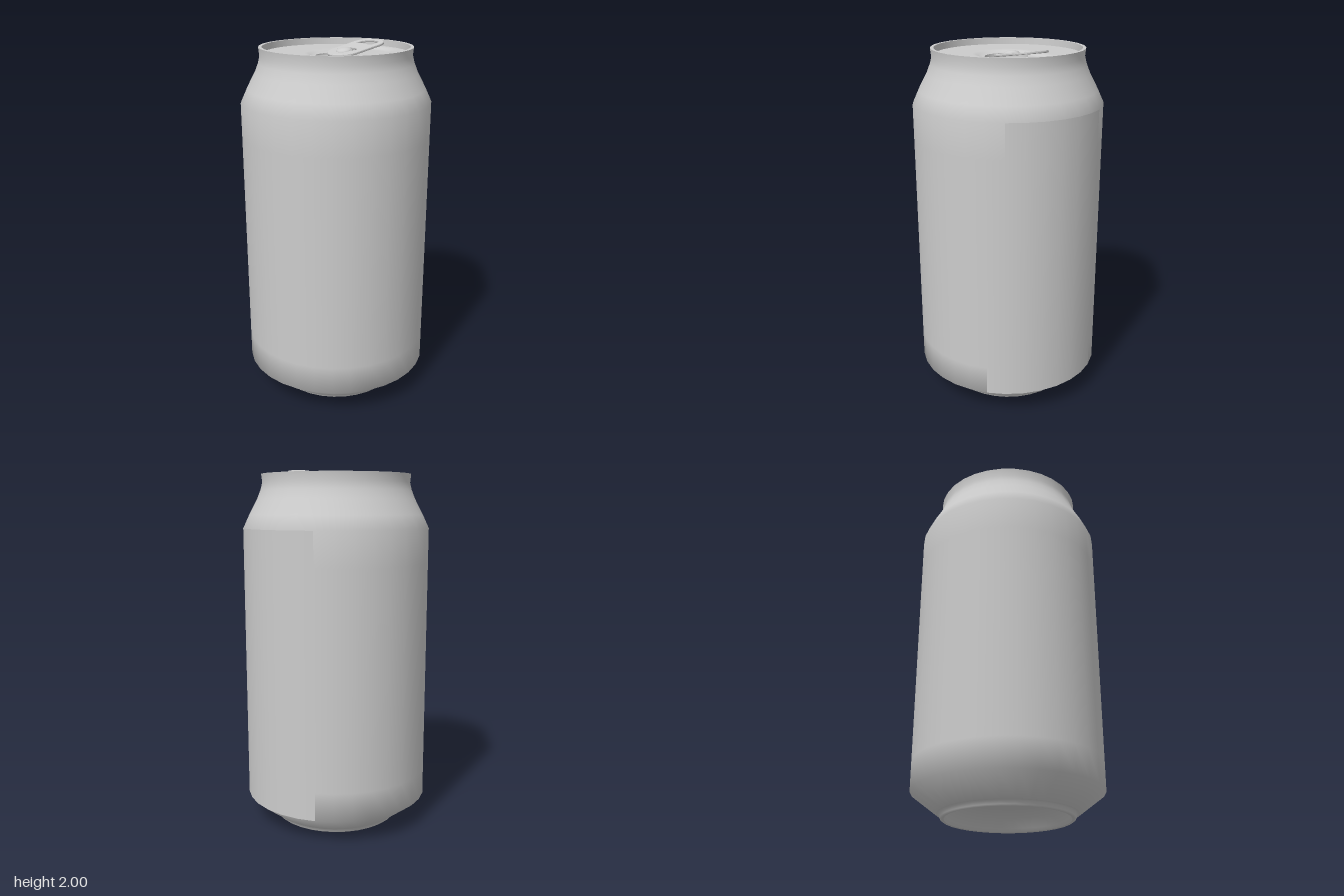
import * as THREE from 'three';

const SIDES = 32, STEP = (Math.PI * 2) / SIDES;
const aluminium = new THREE.MeshStandardMaterial({ color: 0xcccccc, side: THREE.DoubleSide });
aluminium.name = 'aluminium';

const toPoints = (pts) => pts.map(([r, y]) => new THREE.Vector2(r, y));

function addMesh(parent, name, geometry) {
  const mesh = new THREE.Mesh(geometry, aluminium);
  mesh.name = name;
  parent.add(mesh);
  return mesh;
}

function lathe(pts, first = 0, count = SIDES) {
  return new THREE.LatheGeometry(toPoints(pts), count, first * STEP, count * STEP);
}

// Outer wall with the stepped label panel left out
function wallGeometry() {
  const pts = [[0.38, 0.03], [0.525, 0.14], [0.525, 0.3], [0.525, 0.72], [0.525, 1.5],
    [0.525, 1.69], [0.49, 1.765], [0.445, 1.85], [0.425, 1.9], [0.415, 1.94], [0.42, 1.986]];
  const geo = lathe(pts);
  const bands = pts.length - 1, old = geo.index.array, kept = [];
  for (let i = 0; i < SIDES; i++) {
    for (let j = 0; j < bands; j++) {
      const lower = (j === 1 || j === 2) && i >= 4 && i <= 10;
      const upper = (j === 3 || j === 4) && i >= 5 && i <= 10;
      if (lower || upper) continue;
      const k = (i * bands + j) * 6;
      kept.push(...old.slice(k, k + 6));
    }
  }
  geo.setIndex(kept);
  return geo;
}

// Lid around the mouth, pressed down in a teardrop under the tab
const MOUTH = { x: -0.002, z: 0.01, r: 0.118 };
function lidGeometry() {
  const geo = new THREE.PlaneGeometry(1, 1, 64, 24);
  const pos = geo.attributes.position, uv = geo.attributes.uv;
  for (let i = 0; i < pos.count; i++) {
    const a = uv.getX(i) * Math.PI * 2, t = uv.getY(i);
    const x = THREE.MathUtils.lerp(MOUTH.x + MOUTH.r * Math.cos(a), 0.4 * Math.cos(a), t);
    const z = THREE.MathUtils.lerp(MOUTH.z + MOUTH.r * Math.sin(a), 0.4 * Math.sin(a), t);
    const along = THREE.MathUtils.clamp(x, 0, 0.2);
    const d = Math.hypot(x - along, z - 0.015);
    const rise = THREE.MathUtils.smoothstep(d, 0.125, 0.175);
    pos.setXYZ(i, x, 1.936 + 0.014 * rise, z);
  }
  geo.computeVertexNormals();
  return geo;
}

// Pull tab with finger hole and a crescent slot round the rivet
function tabGeometry() {
  const shape = new THREE.Shape();
  shape.absarc(0.18, -0.02, 0.08, -Math.PI / 2, 0);
  shape.absarc(0.18, 0.02, 0.08, 0, Math.PI / 2);
  shape.absarc(0.01, 0, 0.1, Math.PI / 2, Math.PI * 1.5);
  shape.closePath();

  const slot = new THREE.Path();
  slot.absarc(0, 0, 0.07, -1.4, 1.4);
  slot.absarc(0, 0, 0.047, 1.4, -1.4, true);
  slot.closePath();

  const finger = new THREE.Path();
  finger.moveTo(0.165, -0.06);
  finger.lineTo(0.2, -0.06);
  finger.quadraticCurveTo(0.235, -0.05, 0.235, 0);
  finger.quadraticCurveTo(0.235, 0.05, 0.2, 0.06);
  finger.lineTo(0.165, 0.06);
  finger.quadraticCurveTo(0.14, 0.055, 0.155, 0.03);
  finger.quadraticCurveTo(0.168, 0, 0.155, -0.03);
  finger.quadraticCurveTo(0.14, -0.055, 0.165, -0.06);
  shape.holes.push(slot, finger);

  const geo = new THREE.ExtrudeGeometry(shape, {
    depth: 0.006, bevelEnabled: true, bevelThickness: 0.004, bevelSize: 0.005,
    bevelOffset: -0.005, bevelSegments: 2, curveSegments: 14,
  });
  return geo.rotateX(-Math.PI / 2).translate(0, 0.004, 0);
}

export function createModel() {
  const can = new THREE.Group();
  can.name = 'drinkCan';

  addMesh(can, 'wall', wallGeometry());
  addMesh(can, 'panelLower', lathe([[0.525, 0.14], [0.525, 0.72]], 4, 7));
  addMesh(can, 'panelUpper', lathe([[0.525, 0.72], [0.525, 1.69]], 5, 6));

  // Foot ring and concave base
  addMesh(can, 'base', lathe([[0, 0.15], [0.12, 0.14], [0.22, 0.11], [0.29, 0.07], [0.325, 0.02], [0.34, 0.003]]));
  addMesh(can, 'foot', lathe([[0.34, 0.003], [0.352, 0], [0.362, 0.008], [0.365, 0.024], [0.38, 0.03]]));

  // Rim and recessed lid
  addMesh(can, 'rimTop', lathe([[0.42, 1.986], [0.402, 1.986]]));
  addMesh(can, 'rimInside', lathe([[0.402, 1.986], [0.4, 1.95]]));
  addMesh(can, 'lid', lidGeometry());

  // Sunken mouth
  const mouth = new THREE.Group();
  mouth.name = 'mouth';
  mouth.position.set(MOUTH.x, 0, MOUTH.z);
  addMesh(mouth, 'mouthWall', lathe([[MOUTH.r, 1.936], [0.114, 1.905]]));
  addMesh(mouth, 'mouthFloor', lathe([[0.114, 1.905], [0, 1.905]]));
  can.add(mouth);

  // Tilted tab and its rivet
  const tab = new THREE.Group();
  tab.name = 'pullTab';
  tab.position.set(0.05, 1.945, 0.01);
  tab.rotation.z = 0.16;
  addMesh(tab, 'tabPlate', tabGeometry());
  const rivet = addMesh(tab, 'rivet', new THREE.SphereGeometry(0.043, 24, 8, 0, Math.PI * 2, 0, Math.PI / 2));
  rivet.scale.y = 0.4;
  rivet.position.y = 0.012;
  can.add(tab);

  return can;
}
